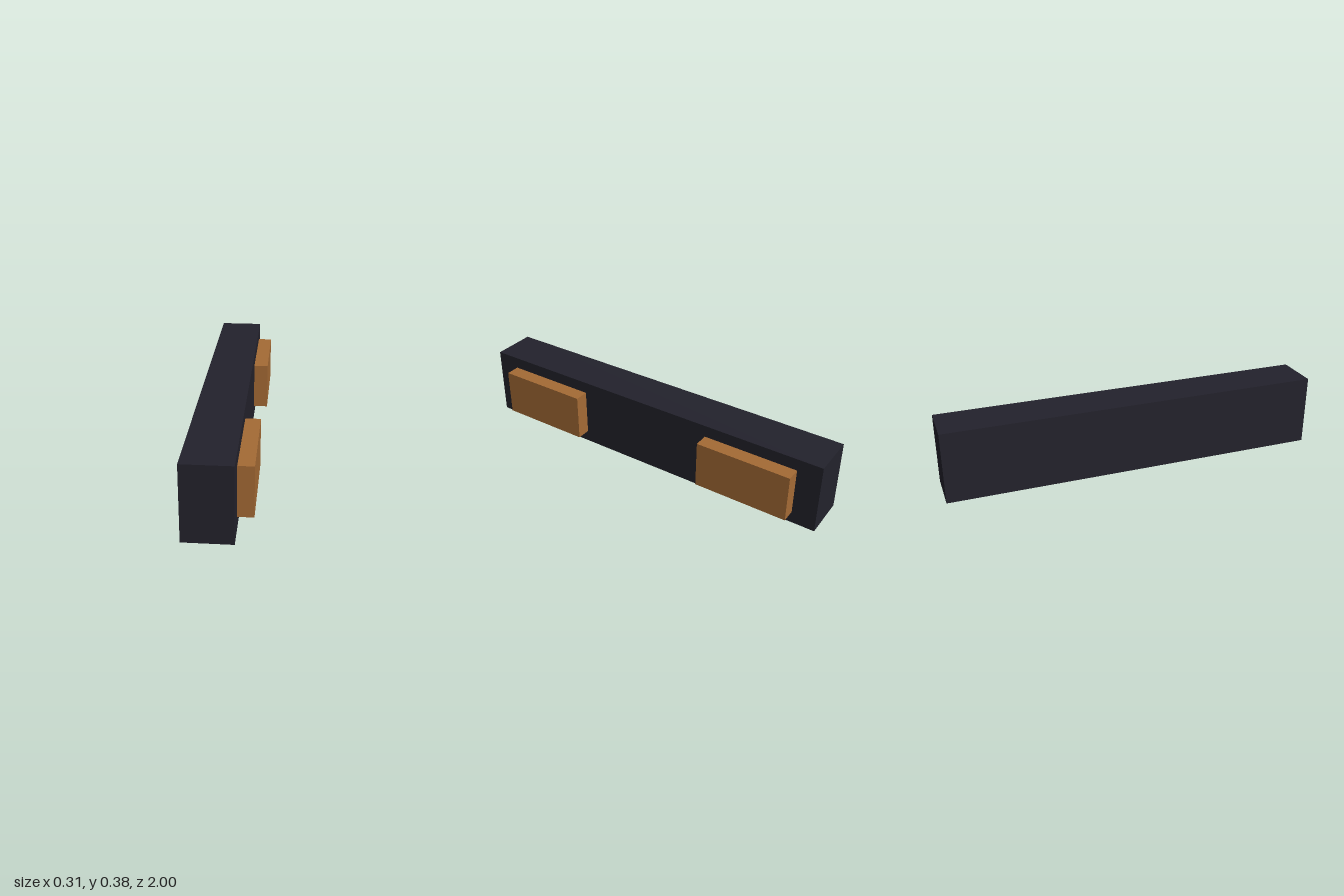
import * as THREE from 'three';

export function createModel() {
  const model = new THREE.Group();
  model.name = 'paddedBeam';

  const darkBody = new THREE.MeshStandardMaterial({ color: 0x23222c });
  darkBody.name = 'dark body';
  const brownPad = new THREE.MeshStandardMaterial({ color: 0xa56b35 });
  brownPad.name = 'brown pad';

  // Box given by its minimum and maximum corners
  function addBox(name, min, max, material) {
    const size = max.map((v, i) => v - min[i]);
    const mesh = new THREE.Mesh(new THREE.BoxGeometry(...size), material);
    mesh.position.set(...max.map((v, i) => (v + min[i]) / 2));
    mesh.name = name;
    model.add(mesh);
  }

  // Long main beam
  addBox('beam', [-0.156, 0, -1], [0.08, 0.375, 1], darkBody);

  // Two raised pads on the +x side, one toward each end
  addBox('frontPad', [0.08, 0.0625, 0.375], [0.156, 0.3125, 0.875], brownPad);
  addBox('backPad', [0.08, 0.0625, -0.875], [0.156, 0.3125, -0.375], brownPad);

  return model;
}
